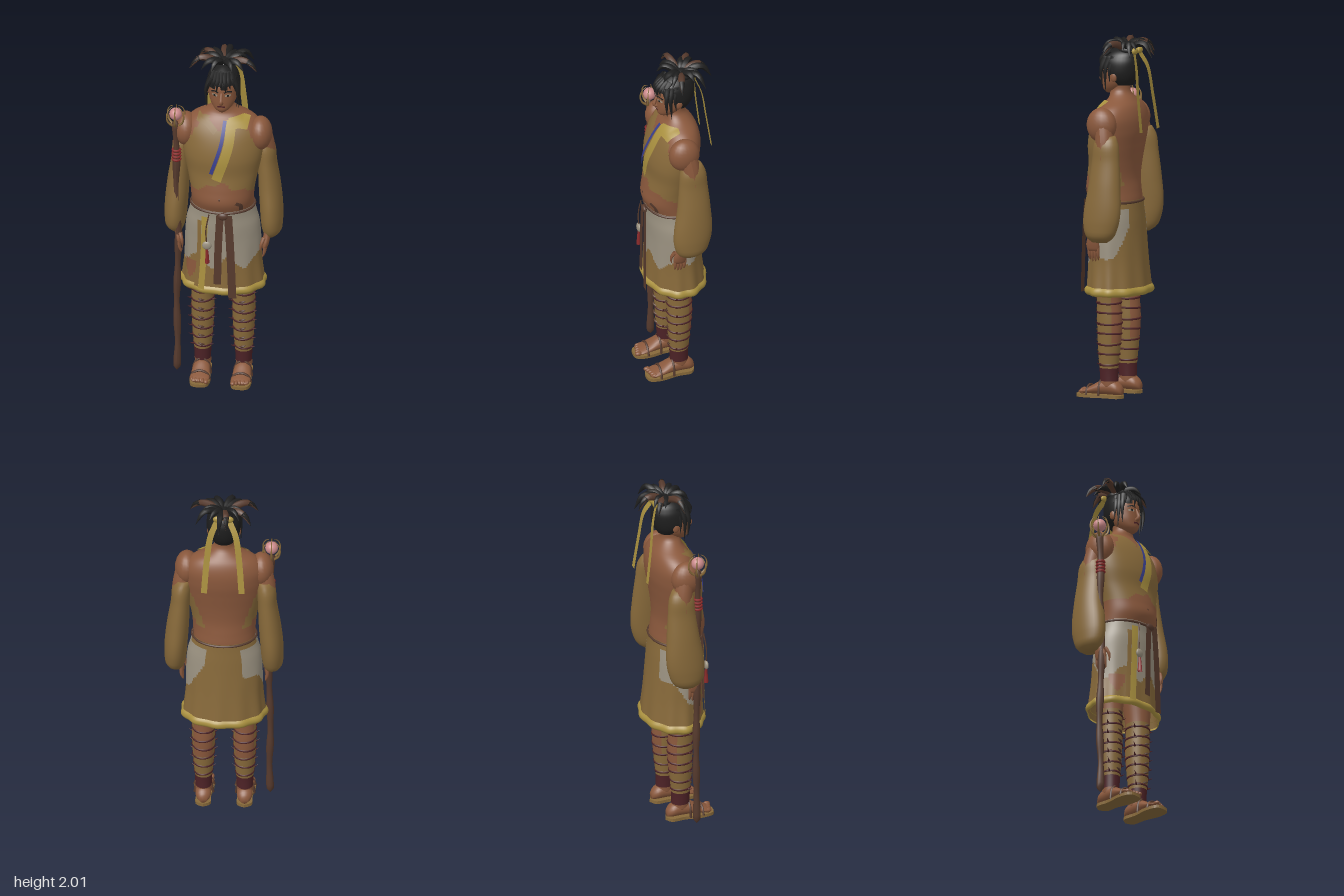
import * as THREE from 'three';

const mat = (name, color) => {
  const m = new THREE.MeshStandardMaterial({ color, side: THREE.DoubleSide });
  m.name = name;
  return m;
};
const skin = mat('skin', 0x8a583c), tan = mat('tan cloth', 0x87693a), yellow = mat('yellow trim', 0xa9903f),
  pale = mat('pale cloth', 0x9a9180), black = mat('black hair', 0x1e1e1e), brown = mat('brown leather', 0x563a2d),
  maroon = mat('maroon wrap', 0x4d2226), pink = mat('pink orb', 0xcb8a8b), blue = mat('blue stripe', 0x383e8c),
  red = mat('red beads', 0x8a2a2a);
const V = (p) => new THREE.Vector3(...p);

// Smoothly interpolated cross-sections; rows are [y, centre x, half width, front z, back z]
function sections(rows) {
  const f = new THREE.CubicInterpolant(rows.map(r => r[0]), rows.flatMap(r => r.slice(1)), 4, new Float32Array(4));
  return y => [...f.evaluate(y)];
}

// Front surface depth of a set of sections at (x, y)
function frontOf(rows, off = 0.008) {
  const at = sections(rows);
  return (x, y) => {
    const [cx, rx, zf, zb] = at(y), k = Math.min(0.98, Math.abs(x - cx) / rx);
    return (zf + zb) / 2 + (zf - zb) / 2 * Math.sqrt(1 - k * k) + off;
  };
}

// Lofted body; rule(x, y, z) picks the material index of a face, or -1 for a gap
function loft(name, rows, mats, { segs = 32, steps = 28, rule = () => 0, caps = true, ripple = () => 0 } = {}) {
  const at = sections(rows), y0 = rows[0][0], y1 = rows[rows.length - 1][0], pos = [], faces = mats.map(() => []);
  for (let j = 0; j <= steps; j++) {
    const y = y0 + (y1 - y0) * j / steps, [cx, rx, zf, zb] = at(y);
    for (let i = 0; i < segs; i++) {
      const a = i / segs * Math.PI * 2, k = 1 + ripple(a, y);
      pos.push(cx + rx * k * Math.sin(a), y, (zf + zb) / 2 + (zf - zb) / 2 * k * Math.cos(a));
    }
  }
  const mid = (a, b, o) => (pos[a * 3 + o] + pos[b * 3 + o]) / 2;
  for (let j = 0; j < steps; j++) for (let i = 0; i < segs; i++) {
    const a = j * segs + i, b = j * segs + (i + 1) % segs, c = b + segs, d = a + segs;
    const m = rule(mid(a, c, 0), mid(a, c, 1), mid(a, c, 2));
    if (m >= 0) faces[m].push(a, b, c, a, c, d);
  }
  if (caps) for (const [j, y] of [[0, y0], [steps, y1]]) {
    const [cx, , zf, zb] = at(y), n = pos.length / 3;
    pos.push(cx, y, (zf + zb) / 2);
    for (let i = 0; i < segs; i++) {
      const a = j * segs + i, b = j * segs + (i + 1) % segs;
      faces[Math.max(0, rule(cx, y, (zf + zb) / 2))].push(n, ...(j ? [a, b] : [b, a]));
    }
  }
  const g = new THREE.BufferGeometry();
  g.setAttribute('position', new THREE.Float32BufferAttribute(pos, 3));
  g.setIndex(faces.flat());
  let start = 0;
  faces.forEach((f, i) => { if (f.length) g.addGroup(start, f.length, i); start += f.length; });
  g.computeVertexNormals();
  return named(name, g, mats);
}

function named(name, g, m, p) {
  const mesh = new THREE.Mesh(g, m);
  mesh.name = name;
  if (p) mesh.position.set(...p);
  return mesh;
}

// Tube along points whose radius follows radius(t)
function taper(name, pts, radius, m, sides = 8, n = 14) {
  const curve = new THREE.CatmullRomCurve3(pts.map(V)), g = new THREE.TubeGeometry(curve, n, 1, sides);
  const p = g.attributes.position, v = new THREE.Vector3();
  for (let i = 0; i < p.count; i++) {
    const t = Math.floor(i / (sides + 1)) / n, c = curve.getPointAt(t);
    v.fromBufferAttribute(p, i).sub(c).multiplyScalar(radius(t)).add(c);
    p.setXYZ(i, v.x, v.y, v.z);
  }
  g.computeVertexNormals();
  return named(name, g, m);
}

// Flat band along points; surface(x, y) lays it on a body
function strip(name, pts, width, m, surface) {
  const curve = new THREE.CatmullRomCurve3(pts.map(p => V([p[0], p[1], p[2] || 0])));
  const g = new THREE.PlaneGeometry(1, 1, 4, 14), p = g.attributes.position;
  for (let i = 0; i < p.count; i++) {
    const u = p.getX(i), t = 0.5 - p.getY(i), c = curve.getPoint(t), d = curve.getTangent(t), l = Math.hypot(d.x, d.y) || 1;
    const x = c.x - d.y / l * u * width, y = c.y + d.x / l * u * width;
    p.setXYZ(i, x, y, surface ? surface(x, y) : c.z);
  }
  g.computeVertexNormals();
  return named(name, g, m);
}

function ball(name, p, r, m) {
  return named(name, new THREE.SphereGeometry(1, 20, 14).scale(...r), m, p);
}

const torsoRows = [[1.05, 0, .17, .14, -.11], [1.1, 0, .172, .165, -.115], [1.16, 0, .175, .188, -.108], [1.23, 0, .182, .18, -.1],
  [1.32, 0, .2, .165, -.105], [1.42, 0, .222, .165, -.12], [1.5, 0, .23, .15, -.132], [1.58, 0, .222, .12, -.13],
  [1.64, 0, .17, .085, -.11], [1.675, 0, .1, .06, -.085], [1.71, 0, .058, .055, -.06], [1.76, 0, .052, .05, -.055]];
const skirtRows = [[.59, 0, .232, .172, -.162], [.75, 0, .216, .165, -.145], [.9, 0, .212, .162, -.132],
  [1.0, 0, .203, .165, -.125], [1.06, 0, .187, .165, -.12], [1.11, 0, .176, .17, -.117]];
const headRows = [[1.7, 0, .02, .085, .03], [1.715, 0, .042, .098, 0], [1.75, 0, .068, .103, -.04], [1.8, 0, .08, .104, -.07],
  [1.86, 0, .082, .1, -.08], [1.92, 0, .06, .07, -.06], [1.945, 0, .02, .03, -.02]];
const pleat = (a, y) => .022 * Math.sin(a * 11) * Math.max(0, (.95 - y) / .36);

function createModel() {
  const model = new THREE.Group();
  const add = (...m) => model.add(...m);

  // Torso with a vest open at the neck, shoulders and back
  add(loft('torso and vest', torsoRows, [skin, tan], {
    segs: 72, steps: 64, rule: (x, y, z) => {
      const ax = Math.abs(x);
      if (z < -.03) return y > 1.19 && y < 1.42 && ax > .1 + (y - 1.19) * .35 ? 1 : 0;
      if (y > 1.66 || y < 1.21 + .08 * (1 - ax / .2) + .01 * Math.sin(x * 60)) return 0;
      if (y > 1.58 && Math.abs(x + .02) < (y - 1.58) * .7) return 0;
      return y > 1.48 && ax > .14 + (1.6 - y) * .6 ? 0 : 1;
    }
  }));
  const chest = frontOf(torsoRows, .009), chestTop = frontOf(torsoRows, .014);
  add(strip('lapel', [[.055, 1.65], [.045, 1.52], [-.02, 1.31]], .055, yellow, chest),
    strip('lapel fold', [[.15, 1.63], [.1, 1.64], [.04, 1.635]], .055, yellow, chestTop),
    strip('right collar', [[-.14, 1.645], [-.08, 1.63], [-.03, 1.59]], .035, tan, chest),
    strip('blue stripe', [[.02, 1.65], [.005, 1.53], [-.05, 1.35]], .02, blue, chestTop),
    strip('belly mark', [[.09, 1.17], [.115, 1.15], [.115, 1.115]], .02, brown, frontOf(torsoRows, .004)),
    ball('navel', [0, 1.19, .184], [.008, .01, .004], brown));

  // Pleated skirt with pale patches, hem and waist cord
  add(loft('skirt', skirtRows, [tan, pale, skin], {
    segs: 96, steps: 48, caps: false, ripple: pleat, rule: (x, y, z) => {
      const a = Math.atan2(x, z), aa = Math.abs(a);
      if (y < .76 && y > .64 && a < -.75 && a > -1.25 && y > .65 + Math.abs(a + 1) * .3) return 2;
      if (aa > 2.4 || y > 1.07 + (aa < 1.6 ? 1 : 0)) return 0;
      return y > .78 + .035 * Math.sin(a * 6) + Math.max(0, aa - 1.5) * .17 ? 1 : 0;
    }
  }));
  add(loft('skirt hem', [[.58, 0, .232, .17, -.162], [.59, 0, .24, .18, -.17], [.615, 0, .238, .18, -.168], [.628, 0, .227, .168, -.156]],
    [yellow], { segs: 96, steps: 8, caps: false, ripple: pleat }));
  const cord = named('waist cord', new THREE.TorusGeometry(1, .045, 8, 48).rotateX(Math.PI / 2), brown, [0, 1.1, .025]);
  cord.scale.set(.178, .16, .144);
  add(cord);

  // Hanging straps and charm
  const skirtFront = frontOf(skirtRows, .015);
  add(strip('yellow hanging strip', [[-.085, 1.07], [-.09, .85], [-.105, .61]], .035, yellow, skirtFront),
    strip('tan hanging strip', [[-.115, 1.04], [-.12, .82], [-.135, .62]], .022, tan, skirtFront),
    strip('short strap', [[.005, 1.1, .19], [-.005, .9, .192], [-.01, .66, .193]], .042, brown),
    strip('long strap', [[.05, 1.1, .19], [.062, .9, .195], [.075, .58, .198]], .045, brown),
    ball('strap knot', [.02, 1.09, .185], [.03, .022, .014], brown),
    ball('charm', [-.07, .9, .185], [.026, .026, .012], pale),
    taper('charm cord', [[-.06, 1.09, .175], [-.075, 1, .185], [-.07, .9, .185]], () => .004, brown, 6),
    taper('charm tassel', [[-.07, .875, .185], [-.068, .84, .186], [-.068, .79, .186]], t => .007 + .007 * t, red, 6));

  for (const s of [1, -1]) {
    const side = s > 0 ? 'left' : 'right';
    // Shoulder, puffed sleeve and hand
    add(ball(side + ' shoulder', [s * .208, 1.545, .012], [.067, .098, .088], skin),
      taper(side + ' upper arm', [[s * .215, 1.56, 0], [s * .235, 1.45, -.02], [s * .245, 1.3, -.03]], () => .052, skin, 14),
      loft(side + ' sleeve', [[.895, s * .262, .03, .045, -.05], [.92, s * .27, .05, .07, -.085], [.98, s * .27, .061, .09, -.115],
        [1.06, s * .267, .064, .09, -.13], [1.2, s * .256, .062, .068, -.125], [1.35, s * .242, .053, .052, -.112],
        [1.45, s * .234, .05, .042, -.1], [1.49, s * .226, .035, .025, -.08]], [tan]),
      loft(side + ' hand', [[.84, s * .238, .015, .083, .012], [.87, s * .243, .019, .086, .01], [.92, s * .25, .02, .07, .015],
        [.97, s * .258, .02, .06, .01]], [skin], { segs: 16, steps: 8 }),
      taper(side + ' thumb', [[s * .235, .91, .075], [s * .222, .87, .092], [s * .218, .83, .09]], t => .011 * (1 - t * t * .8), skin));
    for (let i = 0; i < 4; i++) add(taper(side + ' finger', [[s * .24, .86, .02 + i * .018], [s * .238, .82, .02 + i * .018],
      [s * .228, .775 + .008 * Math.abs(i - 1.5), .022 + i * .017]], t => .0105 * Math.sqrt(1.02 - t * t), skin));

    // Leg with shin wraps
    const X = s * .115;
    const legRows = [[.06, X, .044, .06, -.04], [.15, X, .048, .066, -.04], [.28, X, .058, .075, -.052], [.42, X, .064, .08, -.062],
      [.55, X, .064, .082, -.058], [.74, X, .085, .09, -.08]];
    add(loft(side + ' leg', legRows, [skin, tan, maroon], {
      steps: 56, rule: (x, y, z) => y > .57 || y < .1 ? 0 : y < .17 ? 2 : z > -.03 || y < .32 ? 1 : 0
    }));
    const legAt = sections(legRows);
    for (let i = 0; i < 7; i++) {
      const y = .19 + i * .058, [, rx, zf, zb] = legAt(y);
      const ring = named(side + ' shin binding', new THREE.TorusGeometry(1, .07, 6, 32).rotateX(Math.PI / 2), maroon, [X, y, (zf + zb) / 2]);
      ring.scale.set(rx, .09, (zf - zb) / 2);
      ring.rotation.z = (i % 2 ? 1 : -1) * .06;
      add(ring);
      for (const e of [1, -1]) add(taper(side + ' binding end', [[X + e * rx * .85, y, .04], [X + e * (rx + .008), y + .006, .05],
        [X + e * (rx + .02), y + .014, .055]], t => .007 * (1 - t), maroon, 5, 5));
      add(taper(side + ' binding knot', [[X - .02 * s, y + .01, zf - .005], [X, y + .015, zf + .006], [X + .02 * s, y + .024, zf + .002]],
        t => .007 * Math.sin(Math.PI * t), brown, 5, 6));
    }

    // Foot and sandal
    const foot = loft(side + ' foot', [[-.07, X, .02, -.02, -.06], [-.05, X, .038, -.018, -.085], [0, X, .044, -.018, -.105],
      [.06, X, .047, -.018, -.095], [.12, X, .052, -.018, -.062], [.165, X, .052, -.018, -.045], [.185, X, .04, -.02, -.036]], [skin], { segs: 24 });
    foot.geometry.rotateX(Math.PI / 2);
    const outline = new THREE.Shape(new THREE.SplineCurve([[0, -.078], [.042, -.05], [.042, .03], [.057, .12], [.045, .19], [0, .205],
      [-.045, .19], [-.057, .12], [-.042, .03], [-.042, -.05], [0, -.078]].map(p => new THREE.Vector2(...p))).getPoints(40));
    add(foot, named(side + ' sandal sole',
      new THREE.ExtrudeGeometry(outline, { depth: .018, bevelEnabled: false }).rotateX(Math.PI / 2), tan, [X, .018, 0]));
    for (let i = 0; i < 5; i++) add(ball(side + ' toe', [X + s * (i - 2) * .02, .031, .185 - i * .006],
      [i ? .01 : .014, .013, .02], skin));
    for (const [z, h, w] of [[.13, .068, .056], [.055, .106, .052]]) add(taper(side + ' sandal strap',
      [[X - w, .012, z], [X - w * .75, h * .72, z], [X, h, z], [X + w * .75, h * .72, z], [X + w, .012, z]], () => .007, brown, 6));

    // Facial features and side locks
    const face = frontOf(headRows, .004), iris = frontOf(headRows, .007);
    add(strip(side + ' eye', [[s * .022, 1.815], [s * .036, 1.818], [s * .052, 1.815]], .012, pale, face),
      strip(side + ' iris', [[s * .032, 1.816], [s * .038, 1.817], [s * .043, 1.816]], .012, black, iris),
      strip(side + ' eyebrow', [[s * .016, 1.836], [s * .036, 1.843], [s * .058, 1.835]], .008, black, iris),
      ball(side + ' ear', [s * .083, 1.8, .0], [.012, .028, .02], skin));
    for (const [z, y, x] of [[.07, 1.735, .083], [.045, 1.715, .092], [.02, 1.77, .095]]) add(taper(side + ' side lock',
      [[s * .062, 1.91, z - .01], [s * .088, 1.84, z + .005], [s * x, y, z]], t => .019 * (1 - t) + .001, black, 6));

    // Hair ribbon trailing behind
    add(strip(side + ' hair ribbon', [[s * .035, 1.93, -.105], [s * .07, 1.85, -.135], [s * .09, 1.7, -.155], [s * .105, 1.5, -.182]],
      .034, yellow), ball(side + ' ribbon bow', [s * .03, 1.945, -.105], [.028, .02, .014], yellow));
  }

  // Head
  add(loft('head', headRows, [skin]),
    taper('nose', [[0, 1.83, .1], [0, 1.8, .112], [0, 1.775, .118], [0, 1.766, .102]], t => .006 + .007 * t, skin),
    strip('mouth', [[-.022, 1.744], [0, 1.747], [.022, 1.744]], .009, maroon, frontOf(headRows, .004)));

  // Hair cap, fringe and spiky topknot
  add(loft('hair cap', [[1.75, 0, .055, .03, -.075], [1.79, 0, .084, .09, -.1], [1.85, 0, .093, .112, -.115], [1.9, 0, .084, .105, -.11],
    [1.94, 0, .055, .06, -.085], [1.958, 0, .02, .02, -.04]], [black], {
    rule: (x, y, z) => z > .015 && y < 1.865 - .012 * Math.sin(x * 90) ? -1 : 0
  }));
  for (let i = 0; i < 7; i++) {
    const x = (i - 3) * .024, z = Math.sqrt(1 - (x / .1) ** 2);
    add(taper('fringe lock', [[x * .6, 1.935, .055 * z], [x * .9, 1.89, .112 * z], [x * 1.05, 1.838 + (i % 2) * .018, .112 * z]],
      t => .02 * (1 - t) + .001, black, 6));
  }
  add(ball('topknot', [0, 1.945, -.045], [.055, .035, .055], black));
  const tips = [[-.19, 1.93, .015], [.19, 1.93, .015], [-.155, 1.925, -.135], [.155, 1.925, -.135], [-.022, 1.92, -.2], [.024, 1.91, -.21],
    [-.09, 1.955, -.135], [.075, 1.96, -.135], [-.125, 1.96, -.08], [.13, 1.96, -.08], [-.12, 1.945, .05], [.12, 1.945, .05],
    [-.06, 1.95, .085], [.06, 1.95, .085]];
  tips.forEach(([x, y, z], i) => {
    const at = (k, h) => [x * k, h, -.035 + (z + .035) * k], brownish = i < 6 && i !== 3 && i !== 5;
    add(taper('hair spike', [at(.1, 1.95), at(.35, 1.98), at(.7, i % 3 ? 1.985 : 1.992), [x, y, z]],
      t => .02 * Math.sin(Math.PI * (.25 + .75 * t)) + .0005, brownish ? brown : black, 6));
    if (brownish) add(taper('hair spike tip', [at(.7, i % 3 ? 1.986 : 1.993), at(.87, (1.988 + y) / 2 + .01), [x, y, z]],
      t => .0175 * (1 - t) + .0005, black, 6));
  });

  // Staff with a caged orb and red beads
  const staff = new THREE.Group();
  staff.name = 'staff';
  staff.add(taper('staff shaft', [[-.255, .02, .055], [-.25, .2, .055], [-.256, .45, .05], [-.25, .7, .055], [-.245, .95, .06],
    [-.258, 1.2, .058], [-.256, 1.4, .06], [-.263, 1.62, .057]], t => t < .01 || t > .99 ? 0 : .019 + .003 * Math.sin(t * 40), brown, 10, 60),
    ball('orb', [-.262, 1.655, .057], [.036, .036, .036], pink));
  for (let i = 0; i < 6; i++) {
    const c = Math.cos(i * Math.PI / 3 + .5), d = Math.sin(i * Math.PI / 3 + .5), at = (r, y) => [-.262 + c * r, y, .057 + d * r];
    staff.add(taper('orb prong', [at(.012, 1.58), at(.045, 1.61), at(.055, 1.655), at(.04, 1.69), at(.018, 1.705)],
      t => .008 * (1 - t * .8), tan, 6));
  }
  for (let i = 0; i < 4; i++) staff.add(named('bead ring', new THREE.TorusGeometry(.021, .007, 6, 18).rotateX(Math.PI / 2), red, [-.257, 1.37 + i * .02, .06]));
  add(staff);
  return model;
}

export { createModel };
